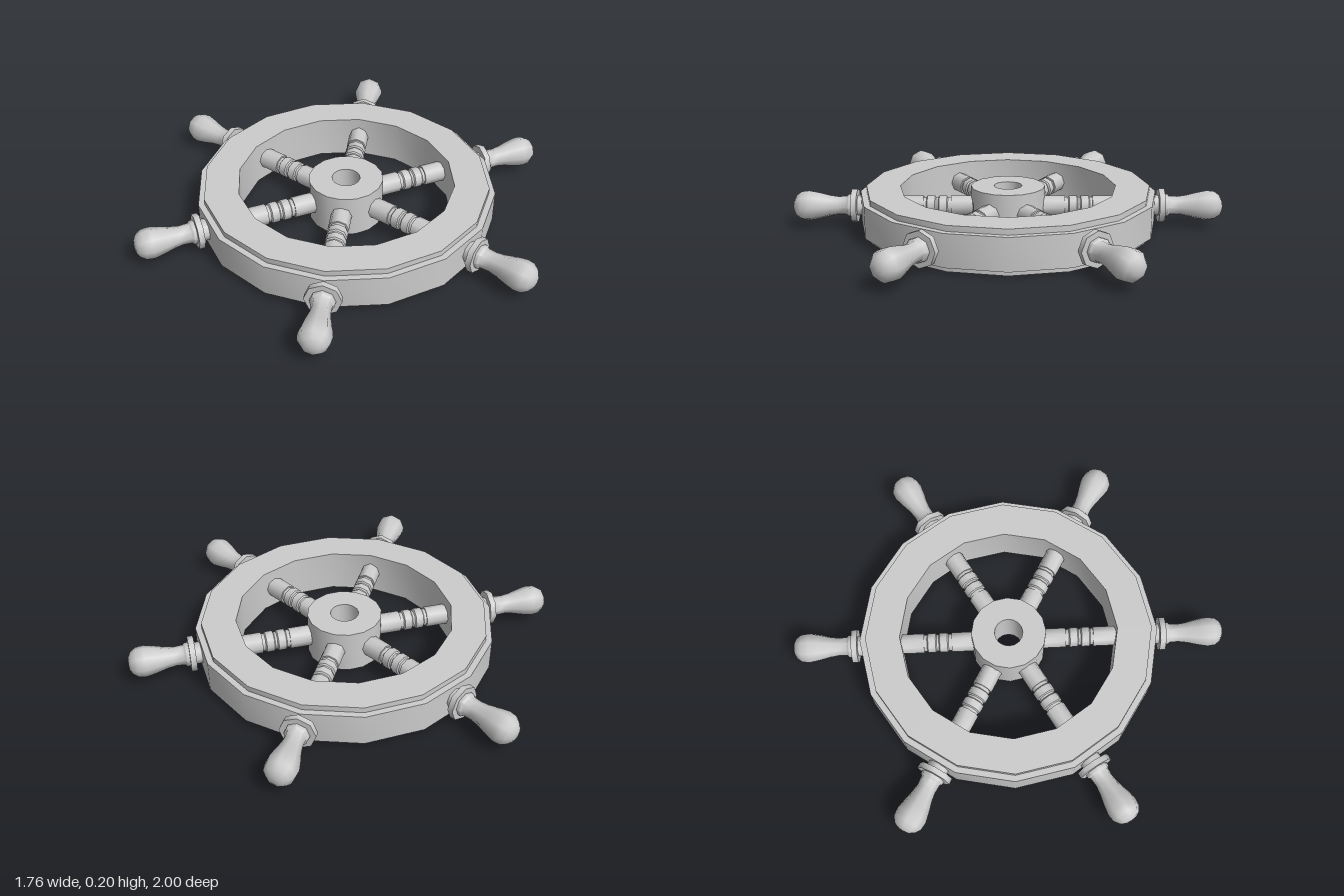
import * as THREE from 'three';
import { toCreasedNormals } from 'three/addons/utils/BufferGeometryUtils.js';

const material = new THREE.MeshStandardMaterial({ color: 0xcccccc });

// Turned part from [radius, height] pairs, with sharp corners kept
function turned(name, profile, sides) {
  const points = profile.map(([r, h]) => new THREE.Vector2(r, h));
  const geometry = toCreasedNormals(new THREE.LatheGeometry(points, sides), 0.9);
  const mesh = new THREE.Mesh(geometry, material);
  mesh.name = name;
  return mesh;
}

export function createModel() {
  const model = new THREE.Group();
  model.name = 'steeringWheel';

  // Rim: a wide band with a small step at its upper and lower edges
  model.add(turned('rim', [
    [0.5, 0], [0.658, 0], [0.658, 0.026], [0.686, 0.026],
    [0.686, 0.174], [0.658, 0.174], [0.658, 0.2], [0.5, 0.2], [0.5, 0],
  ], 16));

  // Hub with an axle hole
  model.add(turned('hub', [
    [0.065, 0], [0.172, 0], [0.172, 0.2], [0.065, 0.2], [0.065, 0],
  ], 16));

  // Spoke with two beads between grooves
  const spokeProfile = [
    [0, 0.14], [0.048, 0.14], [0.048, 0.265], [0.041, 0.265], [0.041, 0.28],
    [0.048, 0.285], [0.048, 0.32], [0.041, 0.325], [0.041, 0.335],
    [0.048, 0.34], [0.048, 0.375], [0.041, 0.38], [0.041, 0.393],
    [0.048, 0.393], [0.048, 0.56], [0, 0.56],
  ];

  // Grip with a collar, a narrow waist and a rounded end
  const gripProfile = [
    [0, 0.62], [0.05, 0.62], [0.05, 0.7], [0.081, 0.7], [0.081, 0.727],
    [0.055, 0.727], [0.055, 0.742], [0.046, 0.75], [0.044, 0.79],
    [0.05, 0.83], [0.063, 0.88], [0.072, 0.925], [0.068, 0.96],
    [0.05, 0.985], [0.028, 0.997], [0, 1],
  ];

  // Six arms around the hub
  for (let i = 0; i < 6; i++) {
    const arm = new THREE.Group();
    arm.name = 'arm' + (i + 1);
    arm.position.y = 0.103;
    arm.rotation.y = (i * Math.PI) / 3;
    for (const [name, profile] of [['spoke', spokeProfile], ['grip', gripProfile]]) {
      const part = turned(name, profile, 8);
      part.rotation.x = Math.PI / 2;
      arm.add(part);
    }
    model.add(arm);
  }
  return model;
}
